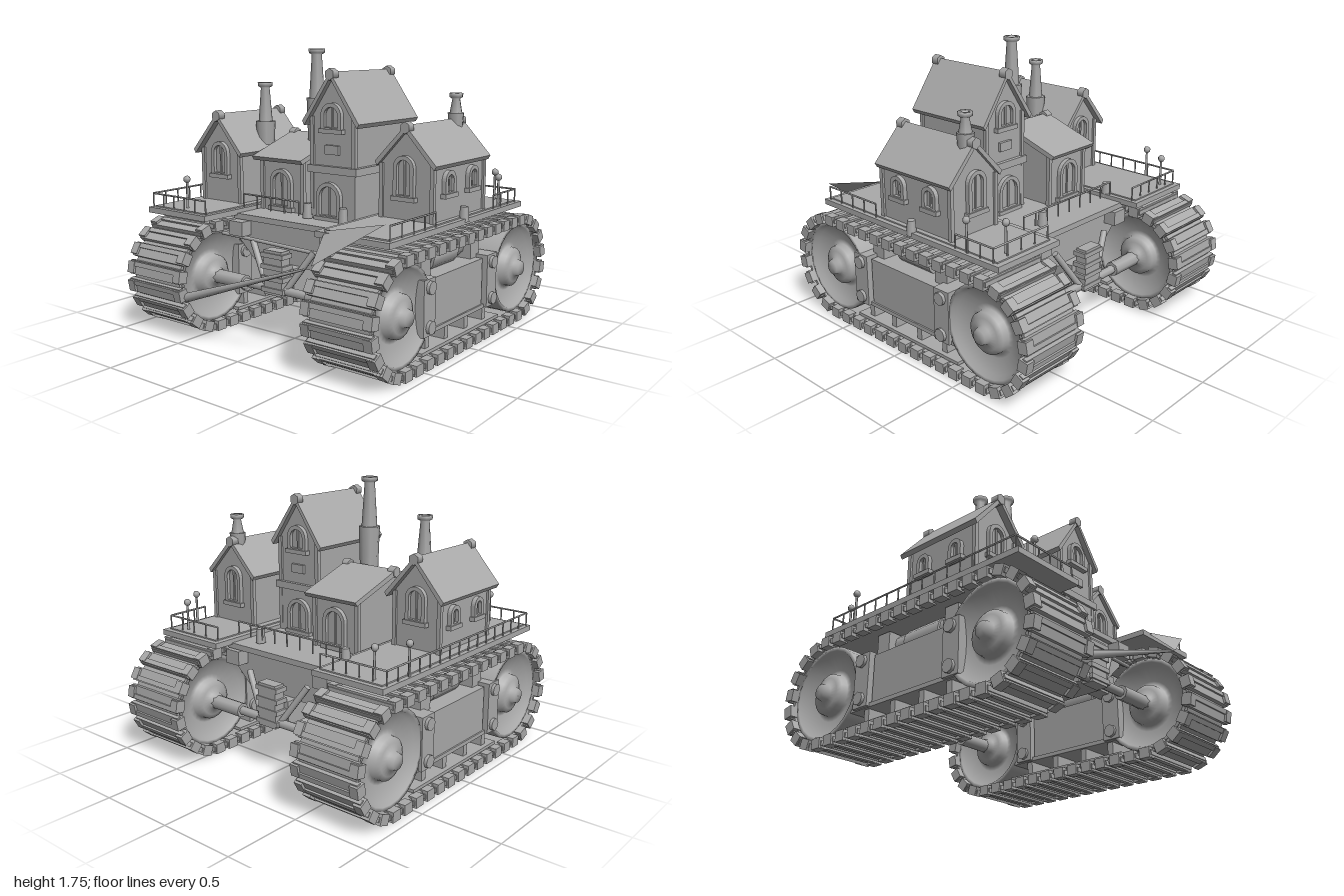
import * as THREE from 'three';

const metal = new THREE.MeshStandardMaterial({ color: 0xaaaaaa, side: THREE.DoubleSide });
metal.name = 'bare grey';

function add(parent, name, geo, x = 0, y = 0, z = 0) {
  const m = new THREE.Mesh(geo, metal);
  m.name = name;
  m.position.set(x, y, z);
  parent.add(m);
  return m;
}
// Box given by its min and max corners
const block = (p, name, x0, x1, y0, y1, z0, z1) =>
  add(p, name, new THREE.BoxGeometry(x1 - x0, y1 - y0, z1 - z0), (x0 + x1) / 2, (y0 + y1) / 2, (z0 + z1) / 2);

// Round rod between two points
function rod(p, name, a, b, r0, r1 = r0, sides = 8) {
  const A = new THREE.Vector3(...a), B = new THREE.Vector3(...b), d = B.clone().sub(A);
  const m = add(p, name, new THREE.CylinderGeometry(r1, r0, d.length(), sides));
  m.position.copy(A).add(B).multiplyScalar(0.5);
  m.quaternion.setFromUnitVectors(new THREE.Vector3(0, 1, 0), d.normalize());
  return m;
}
const shapeOf = pts => new THREE.Shape(pts.map(q => new THREE.Vector2(...q)));
const lathe = (pts, sides) => new THREE.LatheGeometry(pts.map(q => new THREE.Vector2(...q)), sides);
// Extrusion centred on its own depth
const slab = (shape, depth) => new THREE.ExtrudeGeometry(shape, { depth, bevelEnabled: false, curveSegments: 6 }).translate(0, 0, -depth / 2);

function archPath(w, h, y0 = 0, P = THREE.Shape) {
  const s = new P(), r = w / 2;
  s.moveTo(-r, y0);
  s.lineTo(r, y0);
  s.lineTo(r, h - r);
  s.absarc(0, h - r, r, 0, Math.PI, false);
  s.lineTo(-r, y0);
  return s;
}
// Arched opening: raised frame, pane with a mullion and a sill
function archWindow(p, name, w, h, x, y, z, turn = 0) {
  const g = new THREE.Group();
  g.name = name;
  const frame = archPath(w, h);
  frame.holes.push(archPath(w - 0.05, h - 0.025, 0.02, THREE.Path));
  add(g, name + 'Frame', slab(frame, 0.035), 0, 0, 0.01);
  add(g, name + 'Pane', slab(archPath(w - 0.04, h - 0.02), 0.006), 0, 0, 0.003);
  block(g, name + 'Mullion', -0.006, 0.006, 0.01, h - 0.02, 0.004, 0.014);
  block(g, name + 'Sill', -w / 2 - 0.012, w / 2 + 0.012, -0.015, 0.012, -0.01, 0.035);
  g.position.set(x, y, z);
  g.rotation.y = turn;
  p.add(g);
}
// Gabled house, ridge along local z; w and d are the wall sizes
function house(p, name, { x, z, w, d, y0, eave, peak, over, reach, turn = 0 }) {
  const g = new THREE.Group();
  g.name = name;
  const h = w / 2, slope = (peak - eave) / over, t = 0.035, top = peak - t;
  add(g, name + 'Walls', slab(shapeOf([[-h, y0], [h, y0], [h, top - slope * h], [0, top], [-h, top - slope * h]]), d));
  add(g, name + 'Roof', slab(shapeOf([[-over, eave - t], [0, peak - t], [over, eave - t], [over + 0.015, eave - 0.01], [0, peak], [-over - 0.015, eave - 0.01]]), reach));
  for (const sx of [-1, 1]) for (const sz of [-1, 1])
    block(g, name + 'CornerPost', sx * h - 0.013, sx * h + 0.013, y0, top - slope * h - 0.005, sz * d / 2 - 0.013, sz * d / 2 + 0.013);
  for (const s of [-1, 1]) {
    const finial = add(g, name + 'Finial', new THREE.CylinderGeometry(0.035, 0.035, 0.05, 6), 0, peak - 0.015, s * (reach / 2 - 0.02));
    finial.rotation.x = Math.PI / 2;
  }
  g.position.set(x, 0, z);
  g.rotation.y = turn;
  p.add(g);
}
// Wide footing with a slimmer tapered stack and a cap
function chimney(p, x, z, base, mid, top, rBase, r) {
  add(p, 'chimneyFooting', new THREE.CylinderGeometry(rBase, rBase - 0.008, mid - base, 8), x, (base + mid) / 2, z);
  add(p, 'chimneyStack', lathe([[r + 0.012, mid - 0.01], [r - 0.006, top - 0.035], [r + 0.012, top - 0.025], [r + 0.014, top],
    [r - 0.008, top], [r - 0.012, top - 0.03], [0, top - 0.03]], 8), x, 0, z);
}
// Railing with a top bar and evenly spaced posts
function railing(p, pts, y) {
  for (let i = 0; i + 1 < pts.length; i++) {
    const [a, b] = [pts[i], pts[i + 1]];
    const n = Math.max(1, Math.round(Math.hypot(b[0] - a[0], b[1] - a[1]) / 0.1));
    rod(p, 'handrail', [a[0], y + 0.085, a[1]], [b[0], y + 0.085, b[1]], 0.006, 0.006, 5);
    for (let k = 0; k <= n; k++) {
      const x = a[0] + (b[0] - a[0]) * k / n, z = a[1] + (b[1] - a[1]) * k / n;
      rod(p, 'railPost', [x, y, z], [x, y + 0.085, z], 0.005, 0.005, 5);
    }
  }
}
function lamp(p, x, z) {
  rod(p, 'lampPost', [x, 0.77, z], [x, 0.95, z], 0.009, 0.007, 6);
  add(p, 'lampHead', new THREE.SphereGeometry(0.023, 7, 5), x, 0.962, z);
}

// Stadium outline of the crawler belt in the (z, y) plane
const CZ = 0.655, CY = 0.352, ARC = 0.312;
function stadium(r) {
  const s = new THREE.Shape();
  s.absarc(CZ, CY, r, -Math.PI / 2, Math.PI / 2, false);
  s.absarc(-CZ, CY, r, Math.PI / 2, Math.PI * 1.5, false);
  s.closePath();
  return s;
}
// Position and outward angle at distance s along the belt
function beltPoint(s) {
  const L = 2 * CZ, H = Math.PI * ARC;
  if (s < L) return [CZ - s, CY + ARC, Math.PI / 2];
  if ((s -= L) < H) { const a = Math.PI / 2 + s / ARC; return [-CZ + ARC * Math.cos(a), CY + ARC * Math.sin(a), a]; }
  if ((s -= H) < L) return [-CZ + s, CY - ARC, -Math.PI / 2];
  const a = -Math.PI / 2 + (s - L) / ARC;
  return [CZ + ARC * Math.cos(a), CY + ARC * Math.sin(a), a];
}

function crawler(side) {
  const g = new THREE.Group();
  g.name = side > 0 ? 'leftTrack' : 'rightTrack';
  const mid = side * 0.705;
  const band = new THREE.Shape(stadium(0.315).getPoints(14));
  band.holes.push(new THREE.Path(stadium(0.296).getPoints(14)));
  add(g, 'belt', slab(band, 0.4).rotateY(-Math.PI / 2), mid, 0, 0);
  // Track plates with a lug at each end
  const count = 42, total = 4 * CZ + 2 * Math.PI * ARC;
  for (let i = 0; i < count; i++) {
    const [z, y, a] = beltPoint(i * total / count);
    const link = new THREE.Group();
    link.name = 'trackLink';
    block(link, 'plate', -0.225, 0.225, -0.005, 0.024, -0.044, 0.044);
    block(link, 'grouser', -0.22, 0.22, 0.02, 0.035, -0.038, -0.008);
    for (const s of [-1, 1]) block(link, 'lug', s * 0.207 - 0.028, s * 0.207 + 0.028, -0.025, 0.039, -0.036, 0.036);
    link.position.set(mid, y, z);
    link.rotation.x = Math.PI / 2 - a;
    g.add(link);
  }
  // Dished wheels with drum hubs and axle caps on both faces
  const face = [[0, 0.235], [0.045, 0.235], [0.055, 0.2], [0.095, 0.19], [0.125, 0.175], [0.13, 0.135], [0.16, 0.13], [0.25, 0.16], [0.268, 0.19], [0.293, 0.19]];
  const profile = [...face, ...face.map(([r, h]) => [r, -h]).reverse()].reverse();
  for (const z of [-CZ, CZ]) {
    const w = add(g, 'wheel', lathe(profile, 24), mid, CY, z);
    w.rotation.z = Math.PI / 2;
  }
  // Frame between the wheels
  block(g, 'sidePanel', mid - 0.17, mid + 0.17, 0.19, 0.49, -0.25, 0.33);
  for (const z of [-0.32, 0.4]) {
    block(g, 'framePost', mid - 0.2, mid + 0.2, 0.18, 0.51, z - 0.06, z + 0.06);
    for (const y of [0.23, 0.46]) rod(g, 'bolt', [mid - 0.22, y, z], [mid + 0.22, y, z], 0.04);
  }
  block(g, 'frameFoot', mid - 0.18, mid + 0.18, 0.175, 0.2, -0.42, 0.46);
  block(g, 'skidBar', mid - 0.19, mid + 0.19, 0.07, 0.09, -0.44, 0.46);
  for (const z of [-0.3, -0.08, 0.15, 0.36]) block(g, 'skidStrut', mid - 0.16, mid + 0.16, 0.09, 0.18, z - 0.02, z + 0.02);
  rod(g, 'tank', [mid, 0.57, -0.24], [mid, 0.57, 0.32], 0.075, 0.075, 12);
  rod(g, 'tankDrum', [mid, 0.56, -0.1], [mid, 0.56, 0.18], 0.09, 0.09, 12);
  for (const z of [-0.24, 0.32]) block(g, 'tankMount', mid - 0.12, mid + 0.12, 0.49, 0.64, z - 0.05, z + 0.05);
  return g;
}

export function createModel() {
  const root = new THREE.Group();
  root.name = 'crawlerVillage';
  for (const s of [-1, 1]) root.add(crawler(s));

  // Chassis
  const hull = new THREE.Group();
  hull.name = 'chassis';
  root.add(hull);
  add(hull, 'hull', slab(shapeOf([[-0.28, 0.47], [0.28, 0.47], [0.42, 0.6], [0.42, 0.72], [-0.42, 0.72], [-0.42, 0.6]]), 1.1));
  block(hull, 'middleDeck', -0.42, 0.42, 0.715, 0.75, -0.61, 0.58);
  block(hull, 'spineBeam', -0.1, 0.1, 0.33, 0.48, -0.62, 0.62);
  for (const s of [-1, 1]) {
    const z = s * 0.66;
    rod(hull, 'axle', [-0.52, 0.35, z], [0.52, 0.35, z], 0.028);
    block(hull, 'gearbox', -0.07, 0.07, 0.32, 0.59, z - 0.04, z + 0.035);
    for (const y of [0.35, 0.42, 0.49, 0.56]) block(hull, 'gearboxRib', -0.085, 0.085, y - 0.014, y + 0.014, z - 0.045, z + 0.045);
    for (const x of [-1, 1]) {
      rod(hull, 'axleSleeve', [x * 0.25, 0.35, z], [x * 0.52, 0.35, z], 0.046);
      rod(hull, 'strut', [x * 0.24, 0.6, s * 0.6], [x * 0.08, 0.36, z], 0.02);
      block(hull, 'mount', x * 0.36 - 0.055, x * 0.36 + 0.055, 0.62, 0.71, s * 0.58 - 0.05, s * 0.58 + 0.05);
      block(hull, 'sideBeam', x * 0.47 - 0.08, x * 0.47 + 0.08, 0.47, 0.6, s * 0.36 - 0.05, s * 0.36 + 0.05);
    }
  }
  rod(hull, 'crossBar', [-0.5, 0.615, 0.6], [0.44, 0.59, 0.6], 0.012);
  rod(hull, 'towRod', [-0.47, 0.28, 0.94], [0.44, 0.6, 0.93], 0.028, 0.006);

  // Side decks, railings and lamps
  block(root, 'rightDeck', -0.89, -0.39, 0.74, 0.775, -0.73, 0.86);
  block(root, 'leftDeck', 0.38, 0.88, 0.74, 0.775, -0.745, 0.765);
  for (const [x0, x1, z0, z1] of [[-0.86, -0.42, -0.70, 0.83], [0.42, 0.85, -0.71, 0.73]])
    block(root, 'deckPlate', x0, x1, 0.77, 0.783, z0, z1);
  railing(root, [[-0.41, -0.68], [-0.875, -0.68], [-0.875, 0.83], [-0.41, 0.83]], 0.775);
  railing(root, [[0.42, -0.69], [0.86, -0.69], [0.86, -0.4]], 0.775);
  railing(root, [[0.86, 0.28], [0.86, 0.73]], 0.775);
  railing(root, [[-0.41, 0.5], [0.04, 0.5]], 0.775);
  railing(root, [[-0.41, -0.51], [0.42, -0.51]], 0.775);
  for (const [x, z] of [[-0.64, 0.76], [-0.87, -0.47], [-0.77, -0.65], [0.85, -0.48], [0.73, -0.66]]) lamp(root, x, z);
  for (const [x, z] of [[-0.43, 0.27], [-0.42, -0.47], [0.06, 0.44], [0.33, 0.44], [0.86, -0.04], [0.24, -0.5]])
    add(root, 'bollard', new THREE.CylinderGeometry(0.025, 0.032, 0.09, 7), x, 0.8, z);
  // Bent corner sheet at the front of the left deck
  const sheet = new THREE.BufferGeometry().setFromPoints([[0.44, 0.78, 0.75], [0.48, 0.62, 0.92], [0.85, 0.87, 0.76]].map(q => new THREE.Vector3(...q)));
  sheet.computeVertexNormals();
  add(root, 'bentSheet', sheet);

  // Houses
  house(root, 'rightHouse', { x: -0.635, z: 0.195, w: 0.32, d: 0.53, y0: 0.77, eave: 1.12, peak: 1.35, over: 0.195, reach: 0.62 });
  house(root, 'shed', { x: -0.21, z: 0.025, w: 0.66, d: 0.33, y0: 0.74, eave: 1.1, peak: 1.22, over: 0.38, reach: 0.4, turn: Math.PI / 2 });
  house(root, 'tallHouse', { x: 0.215, z: 0.11, w: 0.31, d: 0.55, y0: 0.74, eave: 1.345, peak: 1.63, over: 0.195, reach: 0.62 });
  house(root, 'leftHouse', { x: 0.645, z: -0.04, w: 0.35, d: 0.58, y0: 0.77, eave: 1.125, peak: 1.335, over: 0.195, reach: 0.63 });
  block(root, 'tallHouseBase', 0.05, 0.38, 0.74, 1.03, -0.175, 0.395);
  block(root, 'tallHouseLedge', 0.035, 0.4, 1.03, 1.075, -0.19, 0.41);

  // Windows and doors on front (turn 0), back (PI) and sides
  const B = Math.PI, S = Math.PI / 2;
  for (const [z, t] of [[0.46, 0], [-0.07, B]]) archWindow(root, 'rightWindow', 0.14, 0.22, -0.635, 0.95, z, t);
  for (const z of [0.06, 0.32]) archWindow(root, 'rightSideWindow', 0.1, 0.13, -0.795, 0.93, z, -S);
  for (const [z, t] of [[0.355, 0], [-0.305, B]]) archWindow(root, 'shedDoor', 0.17, 0.25, -0.21, 0.77, z, t);
  for (const [z, t, zb] of [[0.385, 0, 0.395], [-0.165, B, -0.175]]) {
    archWindow(root, 'tallWindow', 0.15, 0.165, 0.215, 1.285, z, t);
    archWindow(root, 'tallDoor', 0.18, 0.22, 0.2, 0.76, zb, t);
    block(root, 'shelf', 0.165, 0.265, 1.145, 1.2, z - 0.02, z + 0.02);
  }
  for (const [z, t] of [[0.25, 0], [-0.33, B]]) archWindow(root, 'leftWindow', 0.14, 0.25, 0.635, 0.91, z, t);
  for (const z of [0.095, -0.175]) archWindow(root, 'leftSideWindow', 0.115, 0.145, 0.82, 0.93, z, S);

  // Chimneys
  chimney(root, -0.49, 0.2, 1.14, 1.29, 1.54, 0.064, 0.034);
  chimney(root, -0.14, 0.1, 1.18, 1.45, 1.755, 0.066, 0.038);
  chimney(root, 0.65, -0.28, 1.27, 1.37, 1.49, 0.052, 0.03);
  return root;
}
